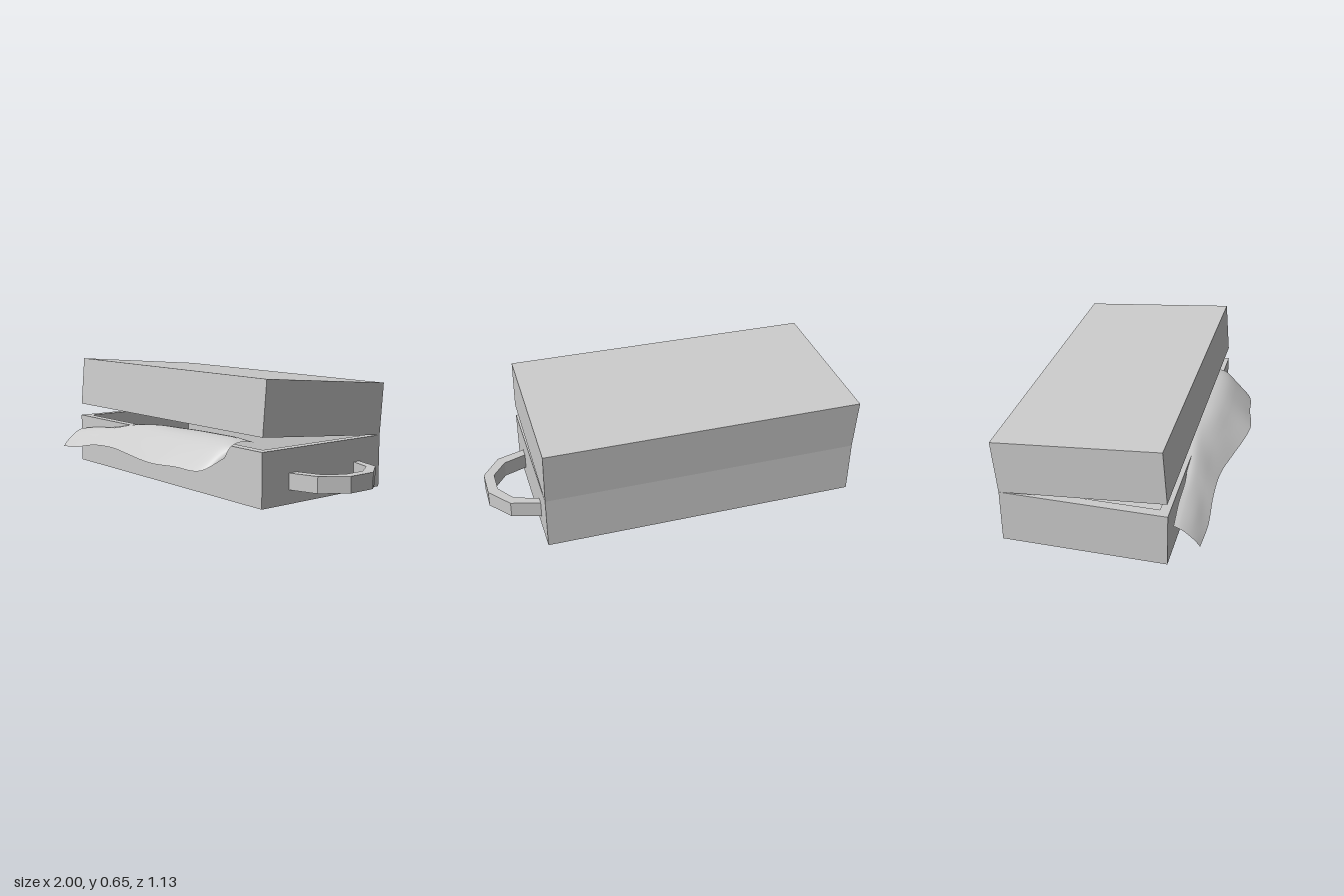
import * as THREE from 'three';

const grey = new THREE.MeshStandardMaterial({ color: 0xcccccc });
const clothGrey = new THREE.MeshStandardMaterial({ color: 0xcccccc, side: THREE.DoubleSide });

const W = 1.745, D = 0.87, H = 0.29, WALL = 0.05;

function named(name, geometry, material = grey) {
  const mesh = new THREE.Mesh(geometry, material);
  mesh.name = name;
  return mesh;
}

// Open tray standing on y = 0, back edge at z = 0, opening upwards
function tray(name) {
  const group = new THREE.Group();
  group.name = name;
  const rect = (inset, Type) => new Type([
    new THREE.Vector2(-W / 2 + inset, -D + inset),
    new THREE.Vector2(W / 2 - inset, -D + inset),
    new THREE.Vector2(W / 2 - inset, -inset),
    new THREE.Vector2(-W / 2 + inset, -inset),
  ]);
  const outline = rect(0, THREE.Shape);
  outline.holes.push(rect(WALL, THREE.Path));
  const walls = new THREE.ExtrudeGeometry(outline, { depth: H, bevelEnabled: false });
  walls.rotateX(-Math.PI / 2);
  const panel = new THREE.BoxGeometry(W - 2 * WALL, WALL, D - 2 * WALL);
  panel.translate(0, WALL / 2, D / 2);
  group.add(named(name + 'Walls', walls), named(name + 'Panel', panel));
  return group;
}

// Faceted carrying handle, drawn in plan (x, z) and extruded upwards
function handle() {
  const plan = [
    [0.745, -0.385], [0.9, -0.34], [1, -0.21], [1, -0.045], [0.9, 0.09], [0.745, 0.14],
    [0.745, 0.085], [0.87, 0.04], [0.945, -0.06], [0.945, -0.19], [0.875, -0.295], [0.745, -0.34],
  ];
  const shape = new THREE.Shape(plan.map(([x, z]) => new THREE.Vector2(x, -z)));
  const geometry = new THREE.ExtrudeGeometry(shape, { depth: 0.088, bevelEnabled: false });
  geometry.rotateX(-Math.PI / 2);
  geometry.translate(0, 0.075, 0);
  return named('handle', geometry);
}

// Cloth hanging over the front wall: sections of [z, y] from inner edge to hem
function cloth() {
  const sections = [
    [-0.96, [[0.345, 0.21], [0.375, 0.2], [0.415, 0.175], [0.455, 0.14], [0.48, 0.11]]],
    [-0.8, [[0.335, 0.235], [0.37, 0.225], [0.42, 0.195], [0.46, 0.155], [0.49, 0.125]]],
    [-0.6, [[0.33, 0.257], [0.36, 0.25], [0.4, 0.225], [0.445, 0.19], [0.478, 0.163]]],
    [-0.4, [[0.29, 0.296], [0.335, 0.293], [0.38, 0.265], [0.43, 0.22], [0.48, 0.175]]],
    [-0.2, [[0.23, 0.3], [0.3, 0.316], [0.36, 0.295], [0.44, 0.24], [0.515, 0.175]]],
    [0, [[0.18, 0.298], [0.28, 0.32], [0.37, 0.305], [0.46, 0.24], [0.553, 0.173]]],
    [0.14, [[0.155, 0.292], [0.27, 0.323], [0.37, 0.308], [0.47, 0.24], [0.565, 0.172]]],
    [0.3, [[0.16, 0.294], [0.27, 0.325], [0.37, 0.308], [0.46, 0.24], [0.535, 0.175]]],
    [0.48, [[0.18, 0.298], [0.27, 0.324], [0.36, 0.305], [0.44, 0.24], [0.505, 0.178]]],
    [0.54, [[0.2, 0.3], [0.27, 0.312], [0.34, 0.302], [0.37, 0.28], [0.395, 0.24]]],
  ];
  const across = 12, along = 48;
  const rows = sections.map(([x, pts]) => new THREE.CatmullRomCurve3(
    pts.map(([z, y]) => new THREE.Vector3(x, y, z))).getPoints(across));
  const positions = [], index = [];
  for (let j = 0; j <= across; j++) {
    const line = new THREE.CatmullRomCurve3(rows.map(row => row[j]));
    line.getPoints(along).forEach(p => positions.push(p.x, p.y, p.z));
  }
  for (let j = 0; j < across; j++) {
    for (let i = 0; i < along; i++) {
      const a = j * (along + 1) + i, b = a + along + 1;
      index.push(a, b, a + 1, b, b + 1, a + 1);
    }
  }
  const geometry = new THREE.BufferGeometry();
  geometry.setAttribute('position', new THREE.Float32BufferAttribute(positions, 3));
  geometry.setIndex(index);
  geometry.computeVertexNormals();
  return named('cloth', geometry, clothGrey);
}

export function createModel() {
  const model = new THREE.Group();
  model.name = 'openCase';

  const base = tray('base');
  base.position.set(-0.1275, 0, -0.545);

  // Lid: the same tray turned over, hinged ajar on the back edge
  const shell = tray('lid');
  shell.rotation.z = Math.PI;
  shell.position.y = H;
  const hinge = new THREE.Group();
  hinge.name = 'lidHinge';
  hinge.add(shell);
  hinge.position.set(-0.1275, H, -0.545);
  hinge.rotation.x = -0.0847;

  model.add(base, hinge, handle(), cloth());
  return model;
}
